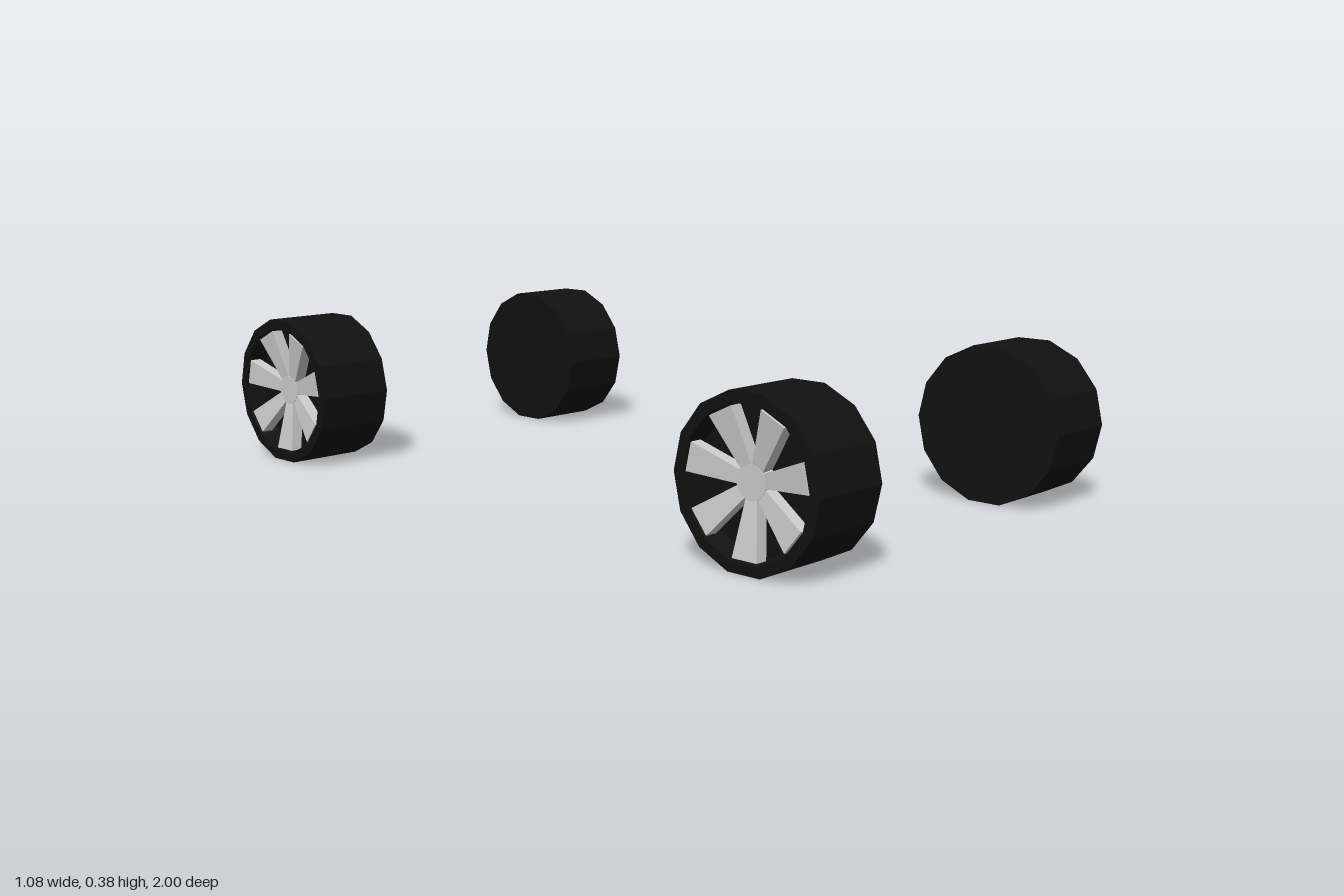
import * as THREE from 'three';

const SIDES = 14, RADIUS = 0.1925, HALF = 0.1, SPOKES = 7;
const AXLE_Y = RADIUS * Math.cos(Math.PI / SIDES);

const black = new THREE.MeshStandardMaterial({ color: 0x111111, flatShading: true });
const grey = new THREE.MeshStandardMaterial({ color: 0xcccccc, flatShading: true });

function part(name, geometry, material) {
  const mesh = new THREE.Mesh(geometry, material);
  mesh.name = name;
  return mesh;
}

// Tyre: closed inner face, tread, lip and dished outer face; the axle runs along x
function tyreGeometry() {
  const profile = [
    [0, -HALF], [RADIUS, -HALF], [RADIUS, HALF], [0.167, HALF], [0.16, 0.05], [0, 0.05],
  ].map(([r, h]) => new THREE.Vector2(r, h));
  return new THREE.LatheGeometry(profile, SIDES).rotateZ(-Math.PI / 2);
}

// Spoke: widens outwards and leans in towards the hub
function spokeGeometry() {
  const inner = 0.025, outer = 0.158;
  const shape = new THREE.Shape([
    [-0.014, -inner], [-0.033, -outer], [0.033, -outer], [0.014, -inner],
  ].map(([x, y]) => new THREE.Vector2(x, y)));
  const geometry = new THREE.ExtrudeGeometry(shape, { depth: 0.03, bevelEnabled: false });
  const pos = geometry.attributes.position;
  for (let i = 0; i < pos.count; i++) {
    const lean = 0.022 * (outer + pos.getY(i)) / (outer - inner);
    pos.setZ(i, pos.getZ(i) + HALF - 0.032 - lean);
  }
  geometry.computeVertexNormals();
  return geometry;
}

function createWheel(name) {
  const wheel = new THREE.Group();
  wheel.name = name;
  wheel.add(part('tyre', tyreGeometry(), black));

  // Rim, built facing +z and turned to face +x
  const rim = new THREE.Group();
  rim.name = 'rim';
  const spoke = spokeGeometry();
  for (let i = 0; i < SPOKES; i++) {
    const mesh = part('spoke', spoke, grey);
    mesh.rotation.z = i * Math.PI * 2 / SPOKES;
    rim.add(mesh);
  }
  const hub = part('hub', new THREE.CylinderGeometry(0.038, 0.042, 0.03, SIDES).rotateX(Math.PI / 2), grey);
  hub.position.z = 0.064;
  rim.add(hub);
  rim.rotation.y = Math.PI / 2;
  wheel.add(rim);
  return wheel;
}

export function createModel() {
  const model = new THREE.Group();
  model.name = 'wheelSet';
  for (const [end, z] of [['front', 0.8075], ['rear', -0.8075]]) {
    for (const [side, sx] of [['Left', 1], ['Right', -1]]) {
      const wheel = createWheel(`${end}${side}Wheel`);
      wheel.position.set(sx * 0.44, AXLE_Y, z);
      if (sx < 0) wheel.rotation.y = Math.PI; // rims face outwards
      model.add(wheel);
    }
  }
  return model;
}
